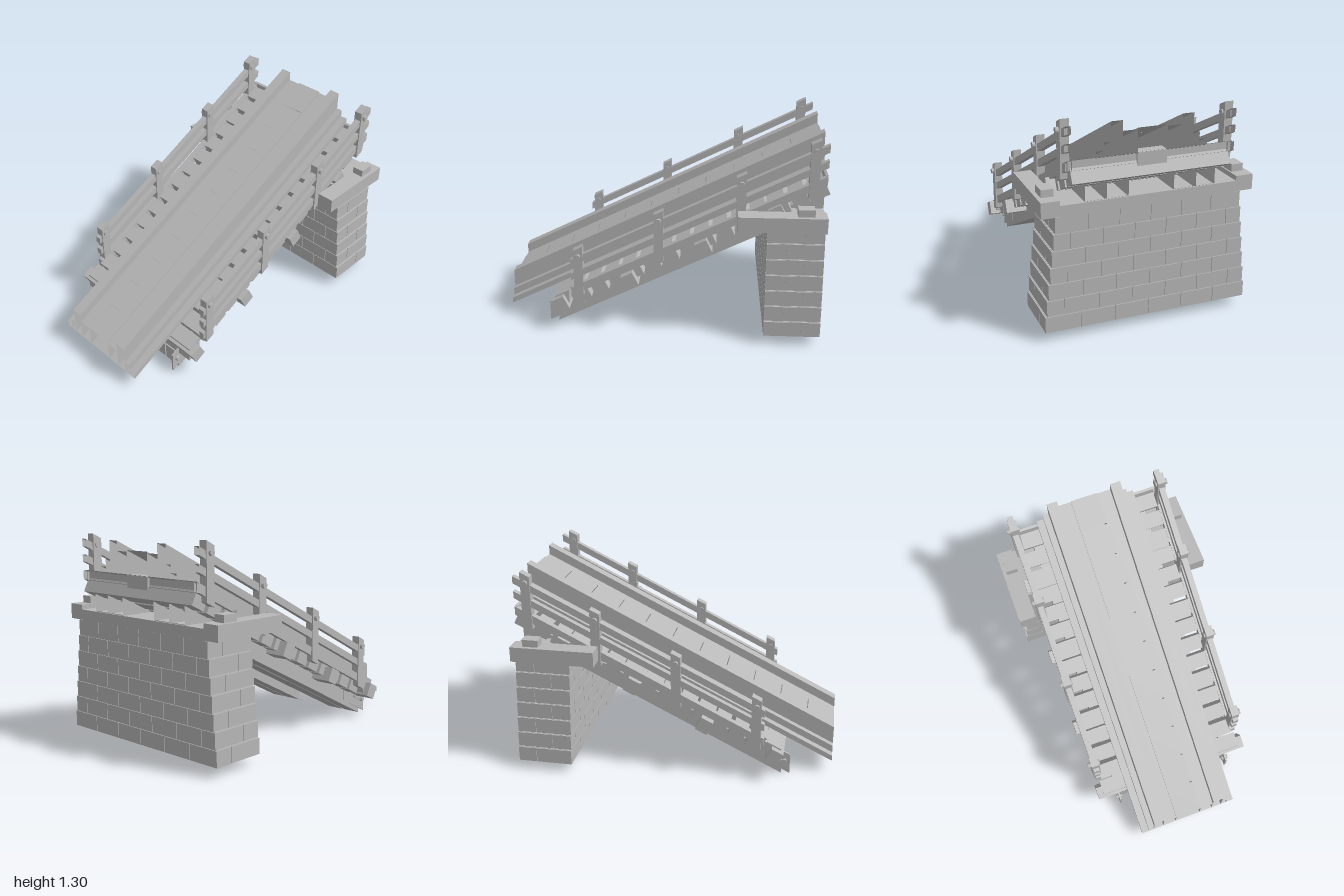
import * as THREE from 'three';

const SLOPE = 0.4975;
const ANGLE = Math.atan(SLOPE);

export function createModel() {
  const root = new THREE.Group();
  const stone = new THREE.MeshStandardMaterial({ color: 0xb8b8b8, side: THREE.DoubleSide });
  stone.name = 'plain grey';

  function add(name, geometry, parent = root) {
    const mesh = new THREE.Mesh(geometry, stone);
    mesh.name = name;
    parent.add(mesh);
    return mesh;
  }
  function group(name) {
    const g = new THREE.Group();
    g.name = name;
    root.add(g);
    return g;
  }
  // Upright box given by its limits
  function box(name, x0, x1, y0, y1, z0, z1, parent) {
    const geo = new THREE.BoxGeometry(x1 - x0, y1 - y0, Math.abs(z1 - z0));
    geo.translate((x0 + x1) / 2, (y0 + y1) / 2, (z0 + z1) / 2);
    return add(name, geo, parent);
  }
  // Box sheared along the slope; low and high are heights at x = 0.
  // openEnds: 0 closed, 1 open at the upper end, 2 open at both ends
  function sloped(name, x0, x1, low, high, z0, z1, parent, openEnds = 0) {
    let geo = new THREE.BoxGeometry(x1 - x0, high - low, Math.abs(z1 - z0));
    geo.translate((x0 + x1) / 2, (low + high) / 2, (z0 + z1) / 2);
    const p = geo.attributes.position;
    for (let i = 0; i < p.count; i++) p.setY(i, p.getY(i) + SLOPE * p.getX(i));
    geo.setIndex(Array.from(geo.index.array).slice(openEnds * 6));
    geo.clearGroups();
    geo.computeVertexNormals();
    return add(name, geo, parent);
  }
  // Box turned to lie square on the slope
  function tilted(name, x, y, length, thick, width, parent) {
    const mesh = add(name, new THREE.BoxGeometry(length, thick, width), parent);
    mesh.position.set(x, y, 0);
    mesh.rotation.z = ANGLE;
    return mesh;
  }
  function bolt(name, x, y, z, radius, length, parent) {
    const geo = new THREE.CylinderGeometry(radius, radius, length, 10);
    geo.rotateX(Math.PI / 2);
    add(name, geo, parent).position.set(x, y, z);
  }

  // Stepped central channel
  const channel = group('channel');
  const segments = 11;
  for (let i = 0; i < segments; i++) {
    const a = -1 + (2 * i) / segments;
    const b = a + 2 / segments - (i < segments - 1 ? 0.005 : 0);
    sloped('channelFloorPlank', a, b, 0.59, 0.732, -0.09, 0.09, channel, 2);
  }
  for (const s of [-1, 1]) {
    [[0.09, 0.18, 0.723], [0.18, 0.25, 0.784], [0.25, 0.29, 0.669], [0.29, 0.338, 0.623]]
      .forEach(([z0, z1, top], i) => {
        sloped(['floorEdge', 'channelWall', 'outerStep', 'lowerStep'][i],
          -1, 1, 0.587, top, s * z0, s * z1, channel, 2);
      });
  }

  // Cross planks of the deck
  const deck = group('deck');
  for (let i = 0; i < 14; i++) {
    const x = -0.515 + i * 0.113;
    tilted('deckPlank', x, 0.515 + SLOPE * x, 0.098, 0.118, 0.965, deck);
  }
  sloped('lowestPlank', -0.68, -0.59, 0.47, 0.57, -0.5, 0.5, deck);
  sloped('topPlank', 0.985, 1, 0.53, 0.59, -0.5, 0.5, deck, 1);
  box('centreBlock', 0.93, 1, 0.95, 1.085, -0.09, 0.09, deck);

  // Paired stringers and the cross beams they carry
  const frame = group('frame');
  for (const s of [-1, 1]) {
    sloped('innerStringer', -0.68, 1, 0.343, 0.455, s * 0.14, s * 0.27, frame, 1);
    sloped('outerStringer', -0.68, 1, 0.343, 0.455, s * 0.28, s * 0.4, frame, 1);
    // Lower end bracket with its hook
    sloped('endBracket', -0.735, -0.5, 0.376, 0.508, s * 0.392, s * 0.404, frame);
    bolt('bracketPin', -0.7, 0.1, s * 0.4, 0.015, 0.045, frame);
    sloped('bracketHook', -0.7, -0.61, 0.434, 0.447, s * 0.4, s * 0.415, frame);
    bolt('stringerPin', 0.2, 0.55, s * 0.405, 0.018, 0.03, frame);
  }
  for (const [x, y] of [[-0.64, 0.19], [-0.195, 0.37], [0.265, 0.605], [0.71, 0.845]]) {
    tilted('crossBeam', x, y, 0.083, 0.092, 1.08, frame);
  }

  // Railings on both sides
  for (const s of [-1, 1]) {
    const railing = group(s > 0 ? 'frontRailing' : 'backRailing');
    for (const x of [-0.52, -0.013, 0.49, 0.92]) {
      sloped('railPost', x - 0.03, x + 0.03, 0.495, 0.837, s * 0.472, s * 0.525, railing);
      bolt('postBolt', x, 0.783 + SLOPE * x, s * 0.503, 0.018, 0.08, railing);
    }
    sloped('topRail', -0.57, 1, 0.735, 0.782, s * 0.48, s * 0.518, railing, 1);
    sloped('middleRail', -0.57, 1, 0.64, 0.685, s * 0.48, s * 0.518, railing, 1);
    sloped('curb', -0.57, 1, 0.53, 0.585, s * 0.475, s * 0.515, railing, 1);
  }

  // Tapering brick pier
  const pier = group('pier');
  const gap = 0.004;
  for (let row = 0; row < 7; row++) {
    const half = 0.64 - row * 0.0108;
    const y0 = 0.065 + row * 0.1007;
    const y1 = y0 + 0.1007;
    box('pierCore', 0.656, 0.994, y0, y1, -half + 0.006, half - 0.006, pier);
    const size = half / 3;
    const cuts = [-half];
    for (let k = 0; k < 6; k++) {
      const z = -half + (k + (row % 2 ? 0.5 : 1)) * size;
      if (z < half - 0.01) cuts.push(z);
    }
    cuts.push(half);
    const split = row % 2 ? 0.77 : 0.88;
    for (let k = 0; k < cuts.length - 1; k++) {
      for (const [x0, x1] of [[0.65, split - gap / 2], [split + gap / 2, 1]]) {
        box('brick', x0, x1, y0 + gap / 2, y1 - gap / 2,
          cuts[k] + (k ? gap / 2 : 0), cuts[k + 1] - (k < cuts.length - 2 ? gap / 2 : 0), pier);
      }
    }
  }
  box('pierTop', 0.65, 1, 0.768, 0.835, -0.545, 0.545, pier);
  for (const s of [-1, 1]) {
    box('capStone', 0.47, 1, 0.77, 0.865, s * 0.545, s * 0.655, pier);
    box('capBlock', 0.825, 0.925, 0.865, 0.91, s * 0.555, s * 0.63, pier);
  }
  return root;
}
